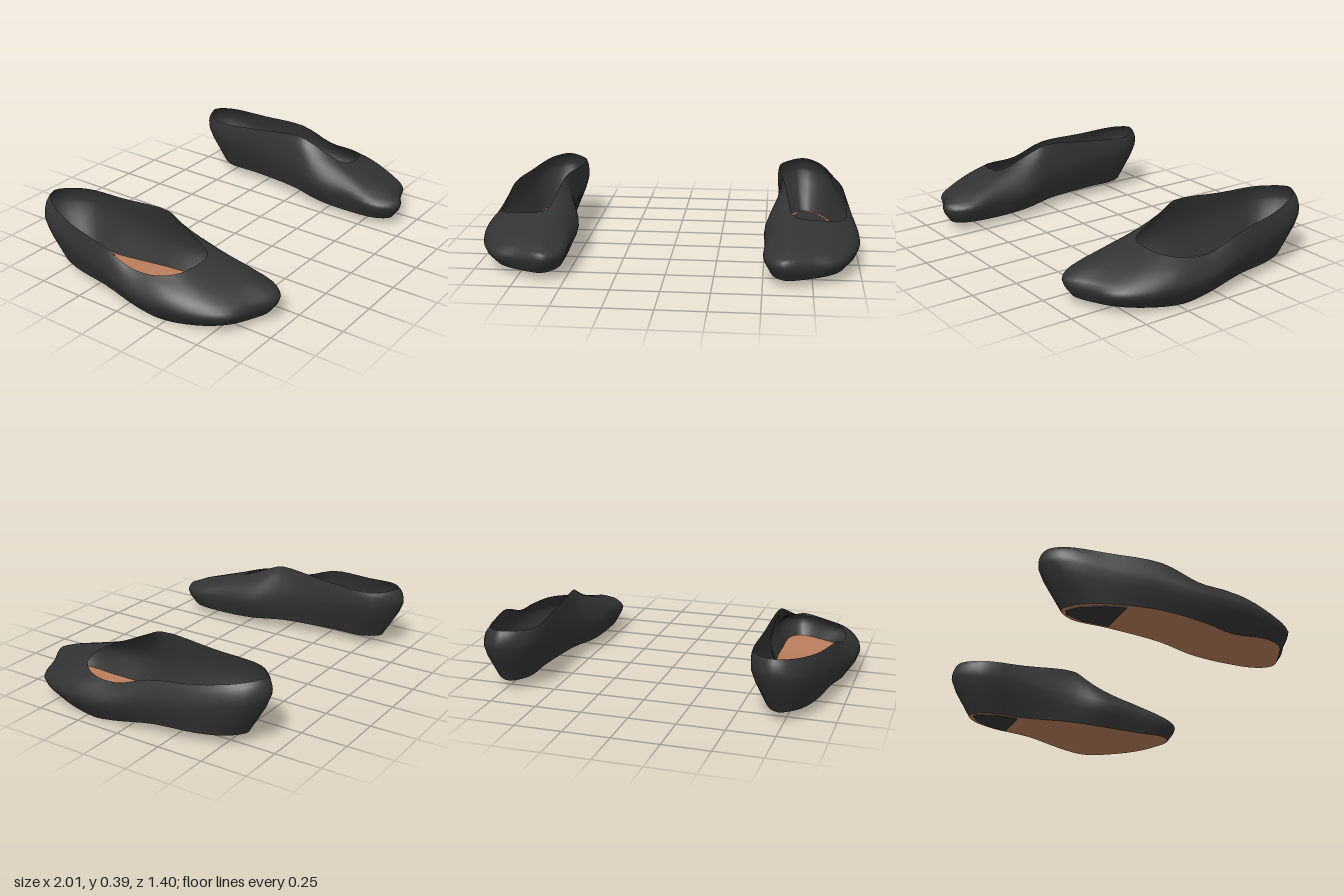
import * as THREE from 'three';

// Closed loops round the shoe: heel, outer side, toe (station 8), inner side.
const soleEdge = [
  [0.72, 0.055, -0.585], [0.81, 0.055, -0.52], [0.87, 0.055, -0.38], [0.91, 0.055, -0.15],
  [0.935, 0.02, 0.08], [0.925, 0, 0.22], [0.9, 0.025, 0.42], [0.83, 0.04, 0.55],
  [0.73, 0.04, 0.61], [0.61, 0.042, 0.65], [0.55, 0.045, 0.59], [0.54, 0.04, 0.4],
  [0.55, 0.045, 0.2], [0.59, 0.06, 0], [0.635, 0.055, -0.3], [0.645, 0.055, -0.5],
];
const widest = [
  [0.71, 0.27, -0.7], [0.83, 0.25, -0.63], [0.905, 0.2, -0.4], [0.955, 0.17, -0.15],
  [1.0, 0.13, 0.1], [0.995, 0.12, 0.3], [0.945, 0.11, 0.47], [0.87, 0.11, 0.585],
  [0.75, 0.11, 0.635], [0.6, 0.12, 0.698], [0.51, 0.13, 0.61], [0.505, 0.15, 0.4],
  [0.5, 0.16, 0.2], [0.555, 0.2, 0], [0.573, 0.23, -0.3], [0.58, 0.25, -0.57],
];
const shoulder = [
  [0.71, 0.33, -0.69], [0.82, 0.32, -0.62], [0.895, 0.27, -0.4], [0.945, 0.25, -0.15],
  [0.97, 0.195, 0.08], [0.965, 0.19, 0.27], [0.915, 0.175, 0.43], [0.835, 0.163, 0.545],
  [0.73, 0.163, 0.61], [0.61, 0.16, 0.68], [0.54, 0.175, 0.57], [0.535, 0.22, 0.35],
  [0.53, 0.25, 0.17], [0.57, 0.31, 0.01], [0.573, 0.31, -0.3], [0.58, 0.32, -0.575],
];
const rim = [
  [0.71, 0.36, -0.67], [0.8, 0.35, -0.605], [0.88, 0.32, -0.4], [0.93, 0.3, -0.15],
  [0.935, 0.235, 0.05], [0.92, 0.235, 0.2], [0.86, 0.25, 0.29], [0.78, 0.26, 0.32],
  [0.72, 0.265, 0.325], [0.67, 0.27, 0.315], [0.64, 0.285, 0.28], [0.625, 0.32, 0.2],
  [0.61, 0.365, 0.1], [0.595, 0.393, 0.02], [0.58, 0.365, -0.3], [0.588, 0.35, -0.57],
];
const heelPad = [
  [0.655, -0.31], [0.655, -0.45], [0.69, -0.545], [0.725, -0.56], [0.79, -0.51], [0.84, -0.42], [0.872, -0.31],
];

// Joins a grid of points (rows of equal length) into one smooth surface.
function gridGeometry(rows, closed) {
  const n = rows[0].length, index = [];
  for (let r = 0; r < rows.length - 1; r++) {
    for (let c = 0; c < (closed ? n : n - 1); c++) {
      const a = r * n + c, b = r * n + (c + 1) % n;
      index.push(a, a + n, b, b, a + n, b + n);
    }
  }
  const geometry = new THREE.BufferGeometry().setFromPoints(rows.flat());
  geometry.setIndex(index);
  geometry.computeVertexNormals();
  return geometry;
}

function createShoe(side, black, tan) {
  const shoe = new THREE.Group();
  const add = (name, geometry, material) => {
    const mesh = new THREE.Mesh(geometry, material);
    mesh.name = name;
    shoe.add(mesh);
    return mesh;
  };
  const loop = (pts) => new THREE.CatmullRomCurve3(pts.map(([x, y, z]) => new THREE.Vector3(x * side, y, z)), true);
  const loops = [soleEdge, widest, shoulder, rim].map(loop);

  // Upper: lofted from the sole edge to the rim of the opening
  const around = 64, up = 9, columns = [];
  for (let i = 0; i < around; i++) {
    columns.push(new THREE.CatmullRomCurve3(loops.map((l) => l.getPoint(i / around))).getPoints(up));
  }
  const rows = Array.from({ length: up + 1 }, (_, r) => columns.map((c) => c[r]));
  add('upper', gridGeometry(rows, true), black);

  // Sole: strips from the outer edge across to the inner edge
  const strips = [];
  for (let i = 0; i <= around / 2; i++) {
    const outer = loops[0].getPoint(i / around);
    const inner = loops[0].getPoint((1 - i / around) % 1);
    strips.push(Array.from({ length: 5 }, (_, k) => outer.clone().lerp(inner, k / 4)));
  }
  add('sole', gridGeometry(strips, false), tan);

  // Heel pad: thin plate showing on both faces of the sole
  const outline = new THREE.Shape(heelPad.map(([x, z]) => new THREE.Vector2(x * side, z)));
  const pad = new THREE.ExtrudeGeometry(outline, { depth: 0.0095, bevelEnabled: false });
  pad.rotateX(Math.PI / 2);
  add('heelPad', pad, black).position.y = 0.06;
  return shoe;
}

export function createModel() {
  const model = new THREE.Group();
  model.name = 'pairOfFlatShoes';
  const black = new THREE.MeshStandardMaterial({ color: 0x333333, side: THREE.DoubleSide });
  black.name = 'black leather';
  const tan = new THREE.MeshStandardMaterial({ color: 0xb87d5c, side: THREE.DoubleSide });
  tan.name = 'tan sole';
  for (const side of [1, -1]) {
    const shoe = createShoe(side, black, tan);
    shoe.name = side > 0 ? 'leftShoe' : 'rightShoe';
    model.add(shoe);
  }
  return model;
}
